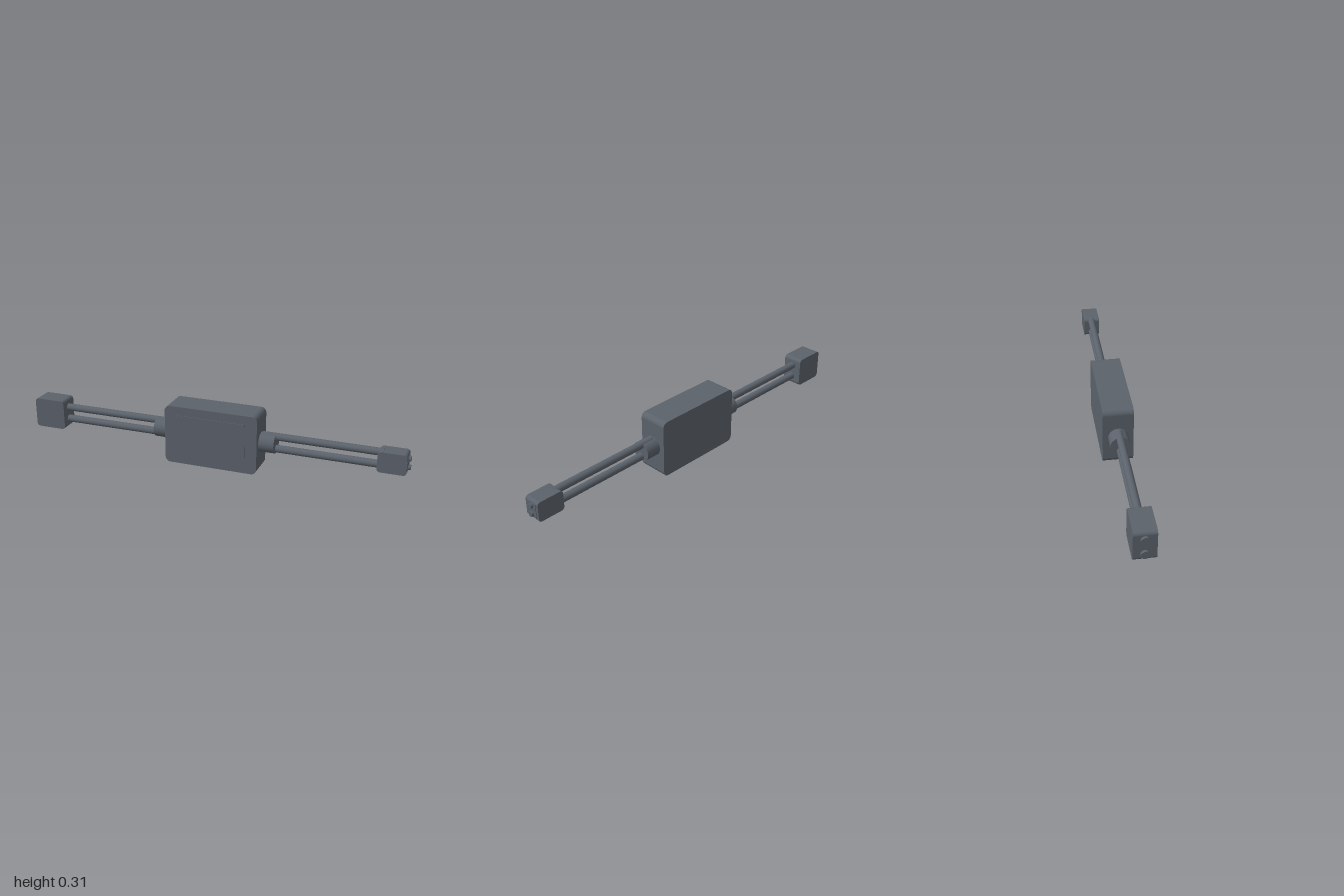
import * as THREE from 'three';

const material = new THREE.MeshStandardMaterial({ color: 0x5b626b });
const MID_Y = 0.153;

// Block with corners rounded in the xy plane and flat front and back
function roundedBlock(name, x0, x1, y0, y1, z0, z1, r) {
  const s = new THREE.Shape();
  s.moveTo(x0 + r, y0);
  s.lineTo(x1 - r, y0);
  s.absarc(x1 - r, y0 + r, r, -Math.PI / 2, 0);
  s.absarc(x1 - r, y1 - r, r, 0, Math.PI / 2);
  s.absarc(x0 + r, y1 - r, r, Math.PI / 2, Math.PI);
  s.absarc(x0 + r, y0 + r, r, Math.PI, Math.PI * 1.5);
  const g = new THREE.ExtrudeGeometry(s, { depth: z1 - z0, bevelEnabled: false, curveSegments: 8 });
  g.translate(0, 0, z0);
  const mesh = new THREE.Mesh(g, material);
  mesh.name = name;
  return mesh;
}

// Cylinder lying along x
function rod(name, x0, x1, y, r) {
  const g = new THREE.CylinderGeometry(r, r, x1 - x0, 32);
  g.rotateZ(Math.PI / 2);
  const mesh = new THREE.Mesh(g, material);
  mesh.name = name;
  mesh.position.set((x0 + x1) / 2, y, 0);
  return mesh;
}

function box(name, x0, x1, y0, y1, z0, z1) {
  const mesh = new THREE.Mesh(new THREE.BoxGeometry(x1 - x0, y1 - y0, z1 - z0), material);
  mesh.name = name;
  mesh.position.set((x0 + x1) / 2, (y0 + y1) / 2, (z0 + z1) / 2);
  return mesh;
}

export function createModel() {
  const model = new THREE.Group();
  model.name = 'inlineCableModule';

  // Central housing with a thin raised label panel
  model.add(roundedBlock('housing', -0.225, 0.262, 0, 0.306, -0.077, 0.075, 0.028));
  model.add(box('labelPanel', -0.16, 0.2, 0.05, 0.26, 0.07, 0.078));

  // Round cable collars
  model.add(rod('leftCollar', 0.25, 0.34, MID_Y, 0.05));
  model.add(rod('rightCollar', -0.3, -0.215, MID_Y, 0.05));

  // Paired wires, running into collars and connectors
  for (const y of [0.19, 0.126]) {
    model.add(rod('leftWire', 0.27, 0.87, y, 0.019));
    model.add(rod('rightWire', -0.84, -0.24, y, 0.019));
  }

  // Small connector on the left end
  const small = new THREE.Group();
  small.name = 'smallConnector';
  small.add(roundedBlock('smallConnectorBody', 0.847, 0.987, 0.102, 0.206, -0.043, 0.043, 0.016));
  small.add(box('smallConnectorFace', 0.97, 0.989, 0.117, 0.192, -0.028, 0.028));
  for (const y of [0.176, 0.132]) small.add(rod('smallPin', 0.97, 1, y, 0.0125));
  model.add(small);

  // Large connector on the right end
  const large = new THREE.Group();
  large.name = 'largeConnector';
  large.add(roundedBlock('largeConnectorBody', -0.988, -0.82, 0.079, 0.236, -0.053, 0.053, 0.018));
  for (const y of [0.197, 0.118]) large.add(rod('largePin', -1, -0.96, y, 0.02));
  model.add(large);

  return model;
}
